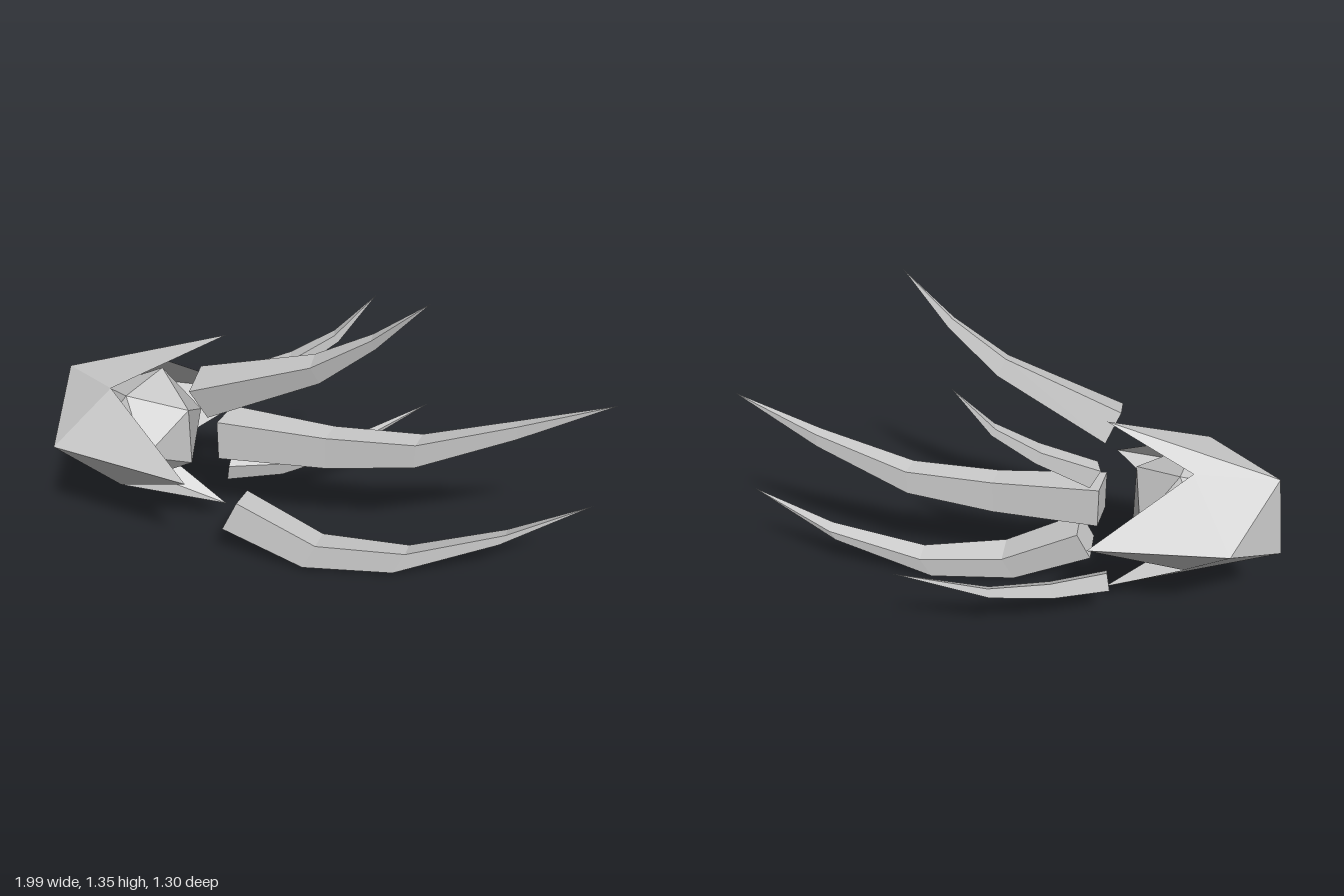
import * as THREE from 'three';

const material = new THREE.MeshStandardMaterial({ color: 0xcccccc, flatShading: true });
const thinMaterial = new THREE.MeshStandardMaterial({ color: 0xcccccc, flatShading: true, side: THREE.DoubleSide });
const V = (p) => new THREE.Vector3(...p);

// Flat-shaded mesh from a list of triangles, each three Vector3 corners
function facetMesh(name, triangles, mat) {
  const geometry = new THREE.BufferGeometry().setFromPoints(triangles.flat());
  geometry.computeVertexNormals();
  const mesh = new THREE.Mesh(geometry, mat);
  mesh.name = name;
  return mesh;
}

// Tapering four-sided claw: `down` and `across` are the edges of the base section,
// each ring is [x, y, z, scale of down, scale of across]
function claw(name, down, across, rings, tip) {
  const corners = [[-0.5, -0.5], [0.5, -0.5], [0.5, 0.5], [-0.5, 0.5]];
  const sections = rings.map(([x, y, z, s, t]) => corners.map(([i, j]) =>
    new THREE.Vector3(x, y, z).addScaledVector(V(down), i * s).addScaledVector(V(across), j * t)));
  const end = V(tip);
  const [a, b, c, d] = sections[0];
  const triangles = [[a, b, c], [a, c, d]];
  sections.forEach((section, k) => {
    const next = sections[k + 1];
    for (let i = 0; i < 4; i++) {
      const j = (i + 1) % 4;
      if (next) triangles.push([section[j], section[i], next[i]], [section[j], next[i], next[j]]);
      else triangles.push([section[j], section[i], end]);
    }
  });
  return facetMesh(name, triangles, material);
}

// Thin open shell with four spikes around its mouth
function shell() {
  const side = V([-1, 0.51, -0.195]), back = V([-0.59, 0.51, -0.655]);
  const frontSpike = V([-0.535, 0.51, 0.195]), innerSpike = V([-0.105, 0.51, -0.405]);
  // upper and lower halves: rear corner, front notch, spike tip, back notch
  const halves = [
    [[-0.885, 0.7, -0.505], [-0.75, 0.75, -0.19], [-0.28, 0.925, -0.185], [-0.55, 0.75, -0.405]],
    [[-0.945, 0.32, -0.505], [-0.75, 0.28, -0.19], [-0.31, 0.1, -0.185], [-0.55, 0.28, -0.405]],
  ].map((half) => half.map(V));
  const [top, bottom] = [halves[0][0], halves[1][0]];
  const triangles = [[side, top, bottom], [back, top, bottom]];
  for (const [rear, notchA, spike, notchB] of halves) {
    triangles.push(
      [side, rear, notchA], [rear, spike, notchA], [rear, notchB, spike],
      [rear, back, notchB], [side, notchA, frontSpike], [back, innerSpike, notchB]);
  }
  // turn every face outward
  const centre = new THREE.Vector3(-0.5, 0.51, -0.25);
  for (const t of triangles) {
    const normal = new THREE.Triangle(...t).getNormal(new THREE.Vector3());
    if (normal.dot(t[0].clone().sub(centre)) < 0) t.reverse();
  }
  return facetMesh('spikedShell', triangles, thinMaterial);
}

export function createModel() {
  const group = new THREE.Group();
  group.name = 'clawedHand';
  group.add(shell());

  // Faceted core inside the shell
  const core = new THREE.Mesh(new THREE.IcosahedronGeometry(0.2425, 0), material);
  core.name = 'core';
  core.position.set(-0.608, 0.51, -0.265);
  core.rotation.y = 0.82;
  group.add(core);

  // Five separate claws
  group.add(
    claw('upperOuterClaw', [0.065, -0.128, 0], [-0.07, -0.035, 0.12], [
      [-0.408, 0.787, -0.005, 1, 1],
      [-0.035, 0.989, 0.276, 0.55, 0.53],
      [0.132, 1.15, 0.415, 0.28, 0.27],
    ], [0.277, 1.346, 0.555]),
    claw('upperInnerClaw', [0.04, -0.075, 0.01], [-0.02, 0, 0.07], [
      [-0.23, 0.698, -0.193, 1, 1],
      [-0.02, 0.805, -0.118, 0.6, 1.05],
      [0.142, 0.922, -0.068, 0.37, 0.65],
    ], [0.286, 1.106, -0.02]),
    claw('middleClaw', [0, -0.175, 0], [-0.09, 0, 0.11], [
      [-0.31, 0.512, -0.12, 1, 1],
      [0.07, 0.512, 0.1, 0.82, 0.7],
      [0.382, 0.553, 0.275, 0.6, 0.64],
      [0.705, 0.714, 0.462, 0.33, 0.37],
    ], [0.99, 0.887, 0.65]),
    claw('lowerInnerClaw', [-0.005, -0.08, -0.02], [-0.025, -0.03, 0.05], [
      [-0.27, 0.22, -0.285, 1, 1],
      [-0.03, 0.22, -0.25, 0.8, 1],
      [0.23, 0.272, -0.226, 0.5, 0.75],
    ], [0.605, 0.457, -0.194]),
    claw('lowerOuterClaw', [-0.06, -0.13, -0.016], [-0.07, 0.025, 0.11], [
      [-0.314, 0.222, 0.027, 1, 1],
      [-0.023, 0.067, 0.184, 0.85, 0.9],
      [0.316, 0.058, 0.322, 0.75, 0.65],
      [0.685, 0.217, 0.48, 0.37, 0.42],
    ], [0.975, 0.425, 0.63]),
  );
  return group;
}
